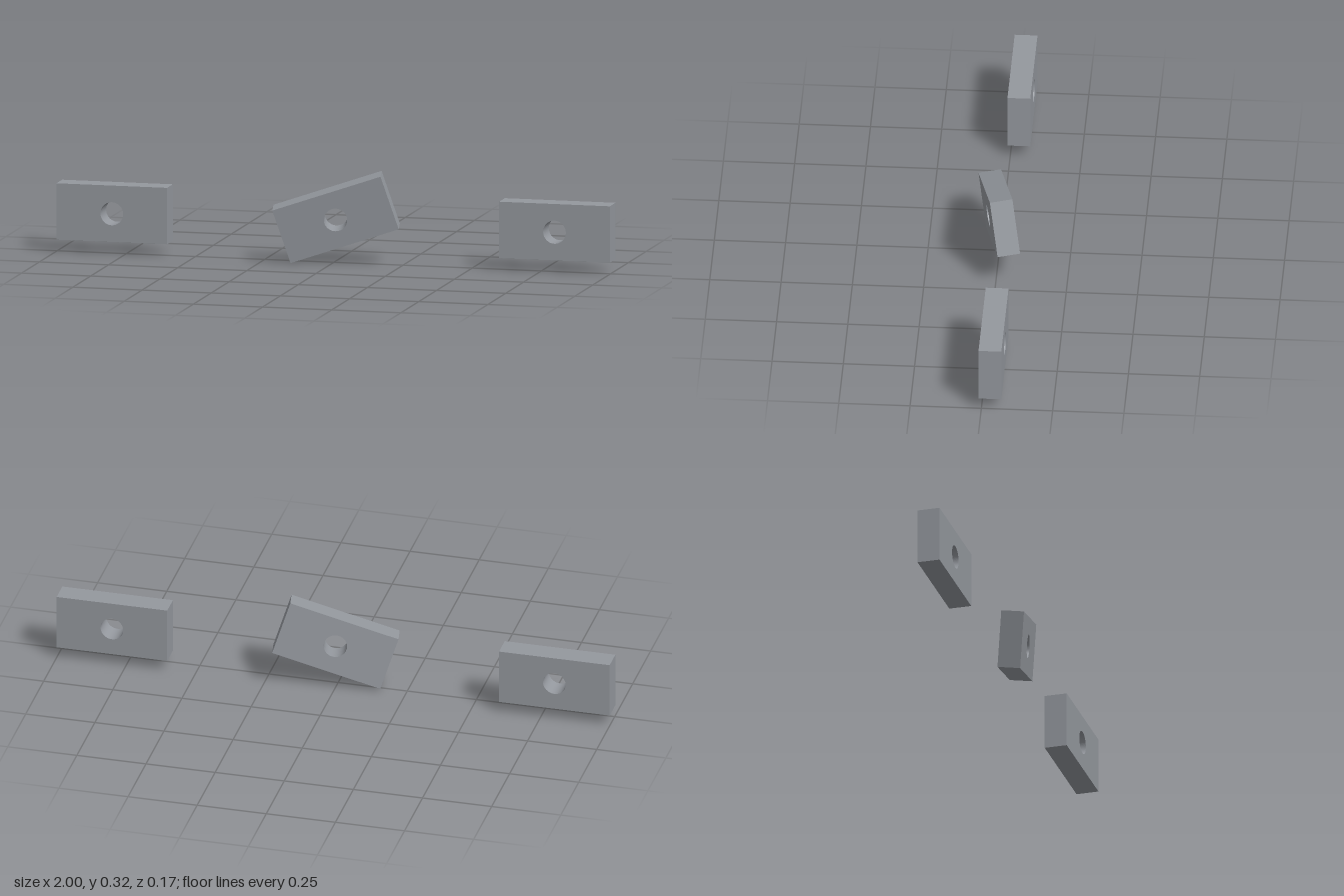
import * as THREE from 'three';

const WIDTH = 0.4, HEIGHT = 0.2, DEPTH = 0.08, HOLE_RADIUS = 0.041;

// Flat block with a round hole through its middle, centred on the origin
function plateGeometry() {
  const x = WIDTH / 2, y = HEIGHT / 2;
  const shape = new THREE.Shape([
    new THREE.Vector2(-x, -y), new THREE.Vector2(x, -y),
    new THREE.Vector2(x, y), new THREE.Vector2(-x, y),
  ]);
  const hole = new THREE.Path();
  hole.absarc(0, 0, HOLE_RADIUS, 0, Math.PI * 2, true);
  shape.holes.push(hole);
  const geometry = new THREE.ExtrudeGeometry(shape, {
    depth: DEPTH, bevelEnabled: false, curveSegments: 32,
  });
  return geometry.translate(0, 0, -DEPTH / 2);
}

export function createModel() {
  const group = new THREE.Group();
  group.name = 'drilledPlates';
  const material = new THREE.MeshStandardMaterial({ color: 0x94989e });
  const geometry = plateGeometry();

  const addPlate = (name, position, rotation = [0, 0, 0]) => {
    const plate = new THREE.Mesh(geometry, material);
    plate.name = name;
    plate.position.set(...position);
    plate.rotation.set(...rotation);
    group.add(plate);
  };

  // Two upright outer plates and a tilted one between them
  addPlate('leftPlate', [0.8, 0.141, -0.03]);
  addPlate('rightPlate', [-0.8, 0.141, -0.03]);
  addPlate('tiltedPlate', [0.008, 0.161, 0], [0.1, 0.2, 0.3]);

  return group;
}
